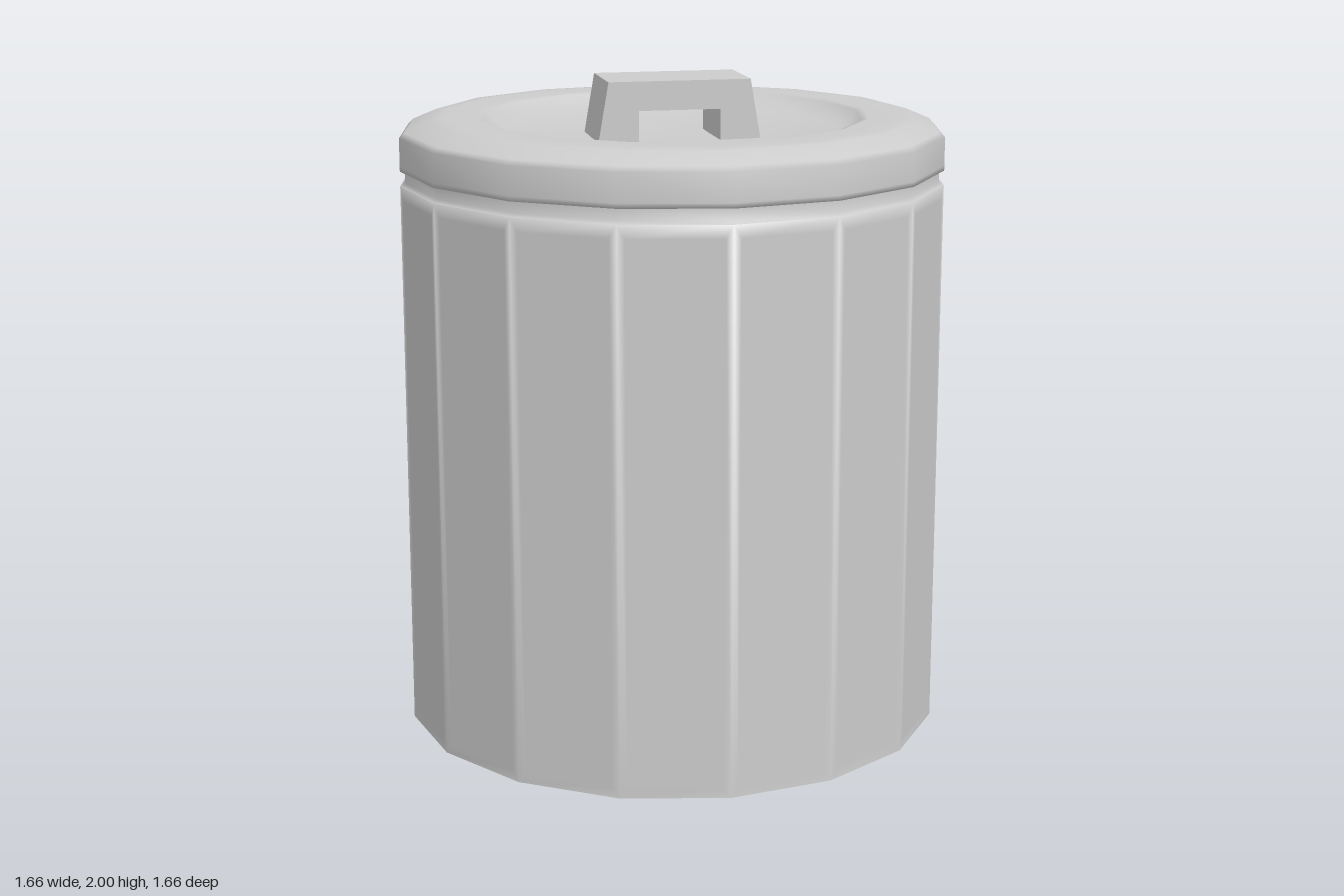
import * as THREE from 'three';

const SIDES = 16, R = 0.83, BODY_TOP = 1.69;
const material = new THREE.MeshStandardMaterial({ color: 0xcccccc, side: THREE.DoubleSide });

// Sixteen flat panels, each framed by narrow strips whose outer normals are rounded
function bodyGeometry() {
  const pos = [], nor = [], idx = [];
  const corner = (i, y) => {
    const a = (i / SIDES) * Math.PI * 2;
    return new THREE.Vector3(Math.sin(a) * R, y, Math.cos(a) * R);
  };
  const add = (p, n) => {
    n = n.clone().normalize();
    pos.push(p.x, p.y, p.z);
    nor.push(n.x, n.y, n.z);
  };
  for (let i = 0; i < SIDES; i++) {
    const base = pos.length / 3;
    const mid = ((i + 0.5) / SIDES) * Math.PI * 2;
    const facing = new THREE.Vector3(Math.sin(mid), 0, Math.cos(mid));
    const frame = [[0, 0], [1, 0], [1, BODY_TOP], [0, BODY_TOP]];
    // outer corners of the facet
    for (const [s, y] of frame) {
      const p = corner(i + s, y);
      add(p, new THREE.Vector3(p.x, y > 0 ? 0.6 : 0.05, p.z));
    }
    // inset panel corners
    for (const [s, y] of frame) {
      const p = corner(i, 0).lerp(corner(i + 1, 0), s ? 0.93 : 0.07);
      p.y = y > 0 ? BODY_TOP - 0.04 : 0.03;
      add(p, facing);
    }
    const quad = (a, b, c, d) => idx.push(base + a, base + b, base + c, base + a, base + c, base + d);
    quad(4, 5, 6, 7);
    for (let k = 0; k < 4; k++) quad(k, (k + 1) % 4, 4 + ((k + 1) % 4), 4 + k);
  }
  const g = new THREE.BufferGeometry();
  g.setAttribute('position', new THREE.Float32BufferAttribute(pos, 3));
  g.setAttribute('normal', new THREE.Float32BufferAttribute(nor, 3));
  g.setIndex(idx);
  return g;
}

// Profile of [radius, height] pairs, listed from bottom to top along the outside
function lathe(profile) {
  return new THREE.LatheGeometry(profile.map(([r, y]) => new THREE.Vector2(r, y)), SIDES);
}

export function createModel() {
  const group = new THREE.Group();
  const part = (name, geometry) => {
    const mesh = new THREE.Mesh(geometry, material);
    mesh.name = name;
    group.add(mesh);
    return mesh;
  };

  part('body', bodyGeometry());

  // Shoulder and recessed neck between body and lid
  part('neck', lathe([[R, BODY_TOP], [0.815, 1.7], [0.815, 1.74]]));

  // Lid with hanging skirt, bevelled rim and a dished centre
  part('lid', lathe([
    [0.81, 1.735], [R, 1.735], [R, 1.75], [R, 1.835], [0.815, 1.85],
    [0.74, 1.882], [0.7, 1.885], [0.6, 1.885], [0.58, 1.88],
    [0.53, 1.835], [0.25, 1.82], [0, 1.815],
  ]));

  // Bridge-shaped handle with tapered ends
  const bridge = new THREE.Shape([
    [-0.25, 1.81], [-0.125, 1.81], [-0.125, 1.912], [0.125, 1.912],
    [0.125, 1.81], [0.25, 1.81], [0.217, 2], [-0.217, 2],
  ].map(([x, y]) => new THREE.Vector2(x, y)));
  const handle = new THREE.ExtrudeGeometry(bridge, { depth: 0.24, bevelEnabled: false });
  part('handle', handle.translate(0, 0, -0.12));

  return group;
}
